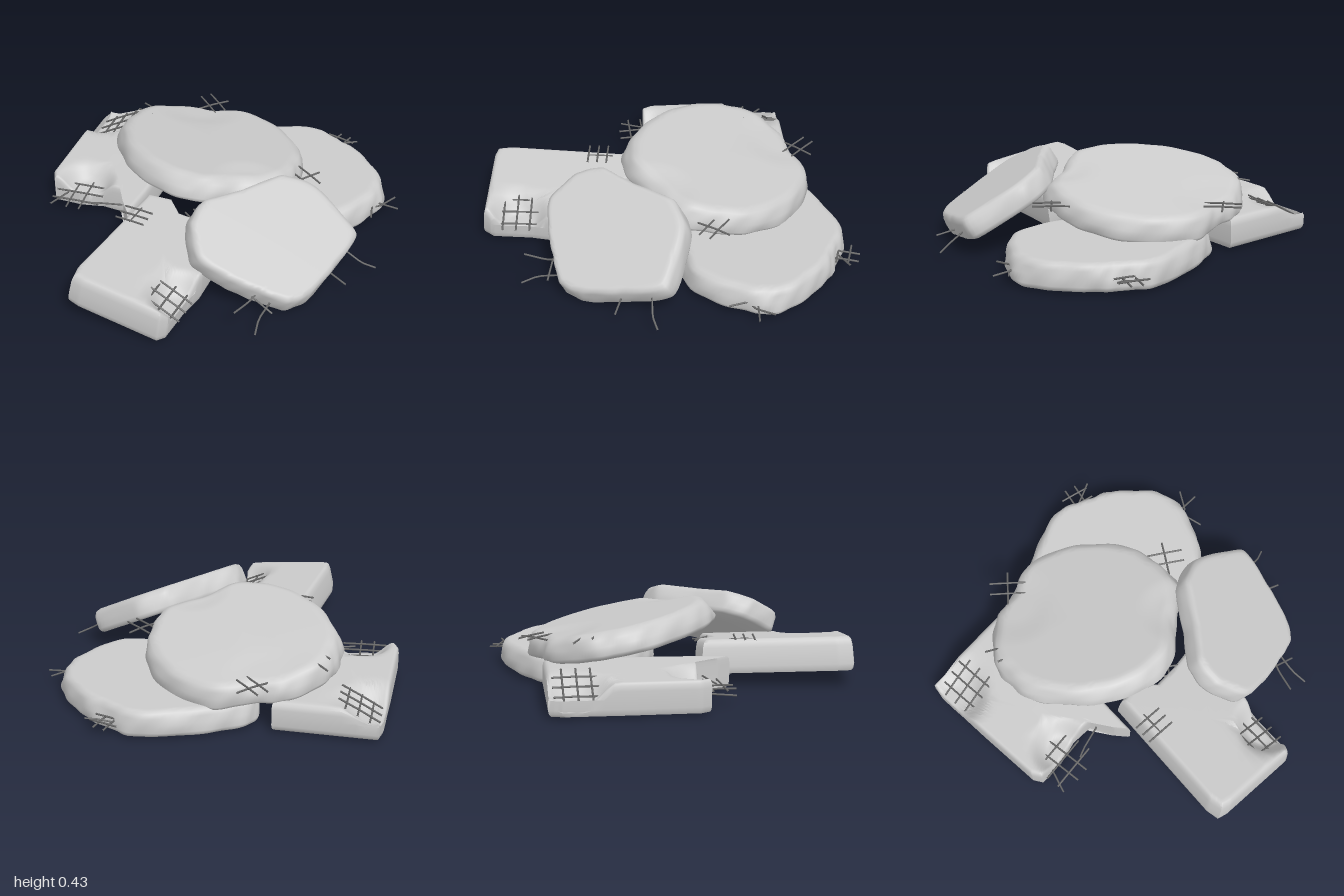
import * as THREE from 'three';
import { toCreasedNormals } from 'three/addons/utils/BufferGeometryUtils.js';

const concrete = new THREE.MeshStandardMaterial({ color: 0xcccccc });
const steel = new THREE.MeshStandardMaterial({ color: 0x666666 });

// Slab lofted through inset rings of one outline; `plane` = [y0, slopeX, slopeZ] of its middle,
// `half` = half thickness, `taper` = how far the top draws in,
// `dents` = [x, z, radius, depth] broken pockets in the top.
function slab(name, { outline, plane, half, tension = 0, bevel = 0.03, taper = 0, rough = 0, dents = [] }) {
  const curve = new THREE.CatmullRomCurve3(
    outline.map(([x, z]) => new THREE.Vector3(x, 0, z)), true, 'catmullrom', tension);
  const count = outline.length * 10;
  let edge = curve.getPoints(count).slice(0, count);
  let area = 0;
  edge.forEach((p, i) => {
    const q = edge[(i + 1) % count];
    area += q.x * p.z - p.x * q.z;
  });
  if (area < 0) edge = edge.reverse();
  const mid = edge.reduce((s, p) => s.add(p), new THREE.Vector3()).divideScalar(count);
  const [y0, sx, sz] = plane;
  const normal = new THREE.Vector3(-sx, 1, -sz).normalize();

  // [scale from the middle, height]
  const top = 1 - bevel - taper;
  const rings = [
    [0, -1], [0.5, -1], [1 - bevel, -1], [1 - bevel * 0.3, -0.85], [1, -0.6], [1 - taper * 0.3, 0],
    [1 - taper * 0.6, 0.5], [1 - taper * 0.85 - bevel * 0.3, 0.82], [top, 0.96],
    ...[0.98, 0.94, 0.9, 0.85, 0.8, 0.75, 0.7, 0.65, 0.6, 0.55, 0.5, 0.4, 0.2, 0].map(s => [s * top, 1]),
  ];
  const pos = [], index = [];
  rings.forEach(([scale, h], r) => {
    edge.forEach((p, i) => {
      const a = (i / count) * Math.PI * 2;
      const chip = rough * scale ** 4 *
        (Math.sin(a * 11 + h * 2) + Math.sin(a * 19 - h * 3) + Math.sin(a * 5 + h * 2));
      const x = mid.x + (p.x - mid.x) * (scale + chip);
      const z = mid.z + (p.z - mid.z) * (scale + chip);
      let lift = h * half;
      if (h > 0.4) for (const [dx, dz, radius, depth] of dents) {
        lift -= depth * (1 - THREE.MathUtils.smoothstep(Math.hypot(x - dx, z - dz), radius * 0.35, radius));
      }
      pos.push(x + normal.x * lift, y0 + sx * x + sz * z + normal.y * lift, z + normal.z * lift);
      if (r + 1 < rings.length) {
        const j = (i + 1) % count, A = r * count, B = A + count;
        index.push(A + i, A + j, B + j, A + i, B + j, B + i);
      }
    });
  });
  const geo = new THREE.BufferGeometry();
  geo.setAttribute('position', new THREE.Float32BufferAttribute(pos, 3));
  geo.setIndex(index);
  const mesh = new THREE.Mesh(toCreasedNormals(geo, 1), concrete);
  mesh.name = name;
  return mesh;
}

// Thin steel rod through the given points
function rod(...points) {
  const curve = new THREE.CatmullRomCurve3(points.map(p => new THREE.Vector3(...p)), false, 'catmullrom', 0.1);
  return new THREE.Mesh(new THREE.TubeGeometry(curve, 6, 0.005, 6), steel);
}

// Crossed rods at a centre: nu rods along u, nv rods across; turned by yaw, then pitched
function grid(name, [x, y, z], yaw, length, nu, nv, gap, pitch = 0) {
  const g = new THREE.Group();
  g.name = name;
  for (let i = 0; i < nu; i++) {
    const o = (i - (nu - 1) / 2) * gap;
    g.add(rod([-length / 2, 0, o], [0, 0.004, o], [length / 2, 0, o]));
  }
  for (let i = 0; i < nv; i++) {
    const o = (i - (nv - 1) / 2) * gap;
    g.add(rod([o, 0.01, -length / 2], [o, 0.012, 0], [o, 0.01, length / 2]));
  }
  g.position.set(x, y, z);
  g.rotation.set(pitch, yaw, 0, 'YXZ');
  return g;
}

export function createModel() {
  const model = new THREE.Group();
  model.name = 'concreteRubble';

  // Slabs
  model.add(
    slab('backSlab', {
      outline: [[-0.06, -0.99], [0.28, -0.58], [0.05, -0.38], [-0.3, -0.12], [-0.48, 0], [-0.46, -0.08],
        [-0.4, -0.2], [-0.47, -0.3], [-0.57, -0.38], [-0.66, -0.49], [-0.64, -0.54], [-0.36, -0.77], [-0.12, -0.96]],
      plane: [0.1, 0, 0], half: 0.08,
      dents: [[-0.14, -0.88, 0.2, 0.1], [-0.52, -0.38, 0.17, 0.08]],
    }),
    slab('leftSlab', {
      outline: [[-1, 0.38], [-0.98, 0.43], [-0.74, 0.79], [-0.69, 0.79], [-0.52, 0.68], [-0.4, 0.62], [-0.24, 0.5],
        [-0.07, 0.38], [-0.18, 0.27], [-0.27, 0.16], [-0.25, 0.04], [-0.34, -0.04], [-0.95, 0.33]],
      plane: [0.125, -0.095, -0.1], half: 0.088, taper: 0.03,
      dents: [[-0.58, 0.69, 0.18, 0.1]],
    }),
    slab('rightSlab', {
      outline: [[0.27, -0.47], [0.5, -0.43], [0.83, -0.23], [0.9, -0.05], [0.93, 0.13], [0.88, 0.4], [0.72, 0.52],
        [0.4, 0.54], [0.17, 0.3], [0.08, 0], [0.17, -0.28]],
      plane: [0.088, 0, 0], half: 0.068, tension: 0.5, bevel: 0.04, taper: 0.06, rough: 0.007,
    }),
    slab('topSlab', {
      outline: [[0, -0.66], [0.22, -0.62], [0.34, -0.52], [0.52, -0.4], [0.59, -0.12], [0.52, 0.15], [0.38, 0.3],
        [0.22, 0.38], [0.02, 0.32], [-0.2, 0.26], [-0.33, 0.07], [-0.36, -0.2], [-0.28, -0.47], [-0.15, -0.6]],
      plane: [0.318, -0.18, 0.075], half: 0.066, tension: 0.5, bevel: 0.05, taper: 0.08, rough: 0.006,
      dents: [[0.24, -0.5, 0.25, 0.012], [0.05, 0.32, 0.2, 0.015]],
    }),
    slab('frontSlab', {
      outline: [[-0.25, 0.36], [-0.05, 0.37], [0.2, 0.37], [0.35, 0.47], [0.43, 0.74], [0.22, 0.85], [0.03, 0.92],
        [-0.1, 0.92], [-0.22, 0.83], [-0.33, 0.73], [-0.43, 0.59], [-0.37, 0.43]],
      plane: [0.595, 0, -0.58], half: 0.065, tension: 0.3, bevel: 0.05, taper: 0.02, rough: 0.004,
    }),
  );

  // Exposed reinforcement grids
  model.add(
    grid('backPocketBars', [-0.1, 0.135, -0.81], 0.7, 0.24, 3, 3, 0.07, -0.5),
    grid('backCornerBars', [-0.57, 0.1, -0.37], 0.75, 0.26, 2, 3, 0.07),
    grid('leftPocketBars', [-0.62, 0.14, 0.65], 0.58, 0.23, 3, 3, 0.07, 0.45),
    grid('leftTopBars', [-0.5, 0.245, 0.12], 0.58, 0.16, 1, 3, 0.05),
    grid('leftEndBars', [-0.2, 0.18, 0.25], 0, 0.18, 1, 2, 0.05),
    grid('topBackBars', [0.36, 0.27, -0.53], -0.1, 0.19, 1, 2, 0.06),
    grid('topFrontBars', [0.4, 0.28, 0.33], 0.05, 0.19, 1, 2, 0.06),
    grid('rightEdgeBars', [0.92, 0.08, -0.08], 0.4, 0.16, 2, 2, 0.06),
  );

  // Loose bent rods
  const loose = new THREE.Group();
  loose.name = 'looseRods';
  loose.add(
    rod([-0.04, 0.35, -0.52], [-0.06, 0.33, -0.63]),
    rod([0.02, 0.34, -0.52], [0.01, 0.31, -0.69]),
    rod([-0.42, 0.1, -0.17], [-0.52, 0.1, -0.25], [-0.57, 0.1, -0.28]),
    rod([-0.56, 0.09, -0.45], [-0.74, 0.09, -0.39]),
    rod([-0.2, 0.13, 0.82], [-0.27, 0.11, 0.84], [-0.38, 0.12, 0.88]),
    rod([-0.15, 0.08, 0.86], [-0.26, 0.06, 0.92], [-0.32, 0.03, 0.98]),
    rod([-0.24, 0.12, 0.82], [-0.19, 0.07, 0.93]),
    rod([0.2, 0.1, 0.82], [0.24, 0.07, 0.94]),
    rod([0.34, 0.14, 0.77], [0.4, 0.08, 0.85], [0.46, 0.05, 0.89]),
    rod([0.68, 0.07, 0.46], [0.76, 0.07, 0.51], [0.88, 0.08, 0.5]),
    rod([0.75, 0.08, 0.46], [0.84, 0.07, 0.58]),
    rod([0.76, 0.09, 0.46], [0.66, 0.08, 0.58]),
    rod([0.86, 0.06, -0.1], [0.95, 0.09, -0.04], [1, 0.1, -0.01]),
  );
  model.add(loose);
  return model;
}
